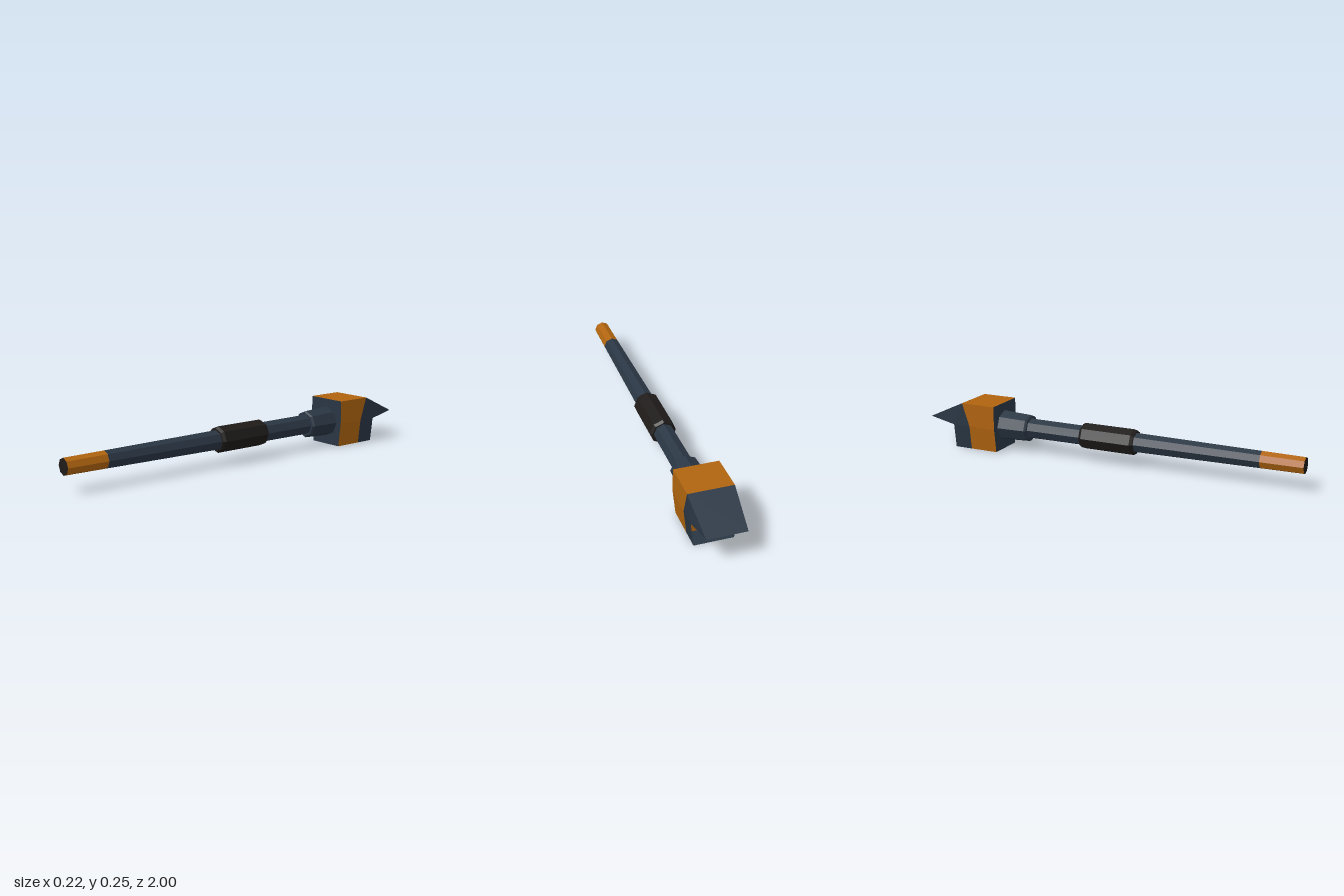
import * as THREE from 'three';

const AXIS_Y = 0.125;

function material(color, side = THREE.FrontSide) {
  return new THREE.MeshStandardMaterial({ color, side, flatShading: true });
}
const steel = material(0x2a3644);
const black = material(0x1e1b19);
const orange = material(0xb0640f);
const steelSheet = material(0x2a3644, THREE.DoubleSide);
const orangeSheet = material(0xb0640f, THREE.DoubleSide);

// Eight-sided turned part along z; profile is [radius, z] from back to front
function turned(name, profile, mat) {
  const points = profile.map(([r, z]) => new THREE.Vector2(r, z));
  const mesh = new THREE.Mesh(new THREE.LatheGeometry(points, 8).rotateX(Math.PI / 2), mat);
  mesh.position.y = AXIS_Y;
  mesh.name = name;
  return mesh;
}

// Flat convex panels, each a list of corners, joined in one mesh
function panels(name, faces, mat) {
  const positions = [];
  for (const f of faces) {
    for (let i = 1; i < f.length - 1; i++) positions.push(...f[0], ...f[i], ...f[i + 1]);
  }
  const geometry = new THREE.BufferGeometry();
  geometry.setAttribute('position', new THREE.Float32BufferAttribute(positions, 3));
  geometry.computeVertexNormals();
  const mesh = new THREE.Mesh(geometry, mat);
  mesh.name = name;
  return mesh;
}

// Mirrored pair of corners; [0] is at +x, [1] at -x
const pair = (x, y, z) => [[x, y, z], [-x, y, z]];
// Panel bridging two mirrored pairs, with its front on the left of a -> b seen from +x
const bridge = (a, b) => [a[0], a[1], b[1], b[0]];
// Both side walls through a run of pairs (counter-clockwise seen from +x)
const walls = (...run) => [run.map((p) => p[0]), run.map((p) => p[1]).reverse()];

function createHead() {
  const head = new THREE.Group();
  head.name = 'head';

  const frontTop = pair(0.11, 0.245, -0.605);
  const frontMid = pair(0.11, 0.125, -0.605);
  const frontLow = pair(0.095, 0, -0.605);
  const bandTop = pair(0.11, 0.245, -0.795);
  const bandMid = pair(0.11, 0.125, -0.755);
  const bandLow = pair(0.095, 0, -0.755);
  const jawTip = pair(0.095, 0.15, -1);
  const jawMid = pair(0.11, 0.125, -0.85);
  const jawLow = pair(0.095, 0, -0.85);

  // Painted block with its top, sides and bent back
  head.add(panels('headBand', [
    bridge(frontTop, bandTop),
    bridge(bandTop, bandMid),
    bridge(bandMid, bandLow),
    ...walls(frontTop, frontMid, bandMid, bandTop).map((f) => f.slice()),
    ...walls(frontMid, frontLow, bandLow, bandMid),
  ], orangeSheet));

  // Front plate and underside
  head.add(panels('headPlate', [
    bridge(frontMid, frontTop),
    bridge(frontLow, frontMid),
    bridge(bandLow, frontLow),
  ], steelSheet));

  // Open beak: sloping roof, side walls and floor
  head.add(panels('jaw', [
    bridge(bandTop, jawTip),
    bridge(jawLow, bandLow),
    ...walls(bandTop, bandMid, jawMid),
    ...walls(bandTop, jawMid, jawTip),
    ...walls(bandMid, bandLow, jawLow, jawMid),
  ], steelSheet));
  return head;
}

export function createModel() {
  const model = new THREE.Group();
  model.name = 'hammer';

  // Handle
  model.add(turned('shaft', [[0.053, -0.6], [0.05, 0.14], [0.043, 0.79]], steel));
  model.add(turned('grip', [
    [0, -0.145], [0.058, -0.145], [0.067, -0.13], [0.067, 0.135], [0.058, 0.15], [0, 0.15],
  ], black));
  model.add(turned('handleEnd', [[0.043, 0.79], [0.041, 1]], orange));
  model.add(turned('endCap', [[0.041, 1], [0, 1]], black));

  // Socket joining the handle to the head
  model.add(turned('collar', [
    [0.078, -0.605], [0.071, -0.455], [0.064, -0.445], [0, -0.445],
  ], steel));

  model.add(createHead());
  return model;
}
